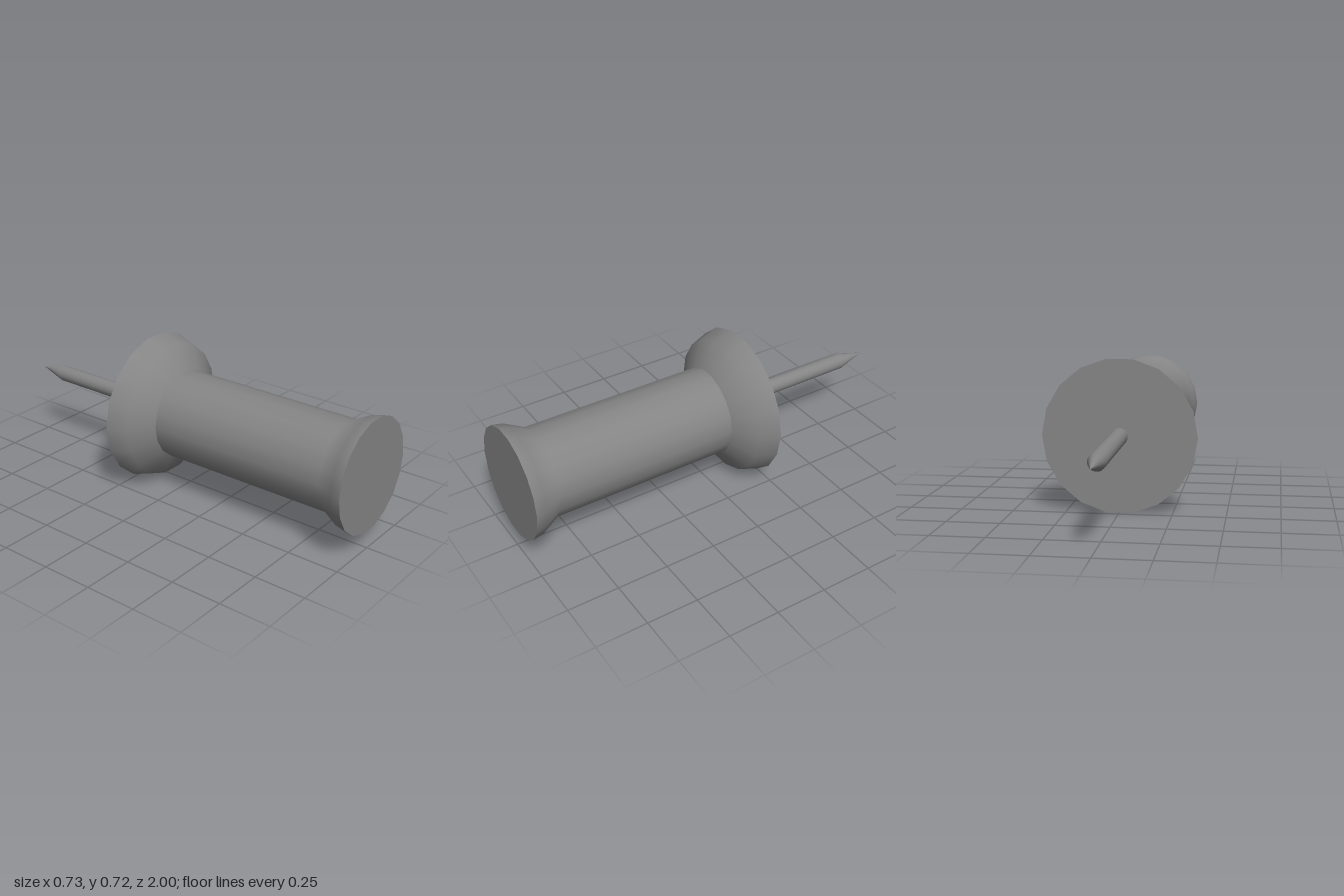
import * as THREE from 'three';

const SIDES = 18;
const AXIS_Y = 0.36;

export function createModel() {
  const group = new THREE.Group();
  const material = new THREE.MeshStandardMaterial({ color: 0x858585 });

  function add(name, geometry, z = 0) {
    const mesh = new THREE.Mesh(geometry, material);
    mesh.name = name;
    mesh.position.set(0, AXIS_Y, z);
    group.add(mesh);
  }

  // Surface turned around the z axis from [radius, z] points, back to front
  function turned(name, points) {
    const profile = points.map(([r, z]) => new THREE.Vector2(r, z));
    add(name, new THREE.LatheGeometry(profile, SIDES, Math.PI / 2).rotateX(Math.PI / 2));
  }

  // Needle with a sharpened tip
  turned('needle', [[0, -1], [0.04, -0.85], [0.04, -0.215]]);

  // Wide collar with its flat back
  add('collarBack', new THREE.CircleGeometry(0.365, SIDES).rotateY(Math.PI), -0.215);
  turned('collar', [[0.365, -0.215], [0.331, -0.115], [0.2155, -0.04]]);

  // Handle flaring out to a flat front end
  turned('handle', [[0.2155, -0.04], [0.2155, 0.86], [0.263, 0.95], [0.272, 1]]);
  add('handleEnd', new THREE.CircleGeometry(0.272, SIDES), 1);

  return group;
}
